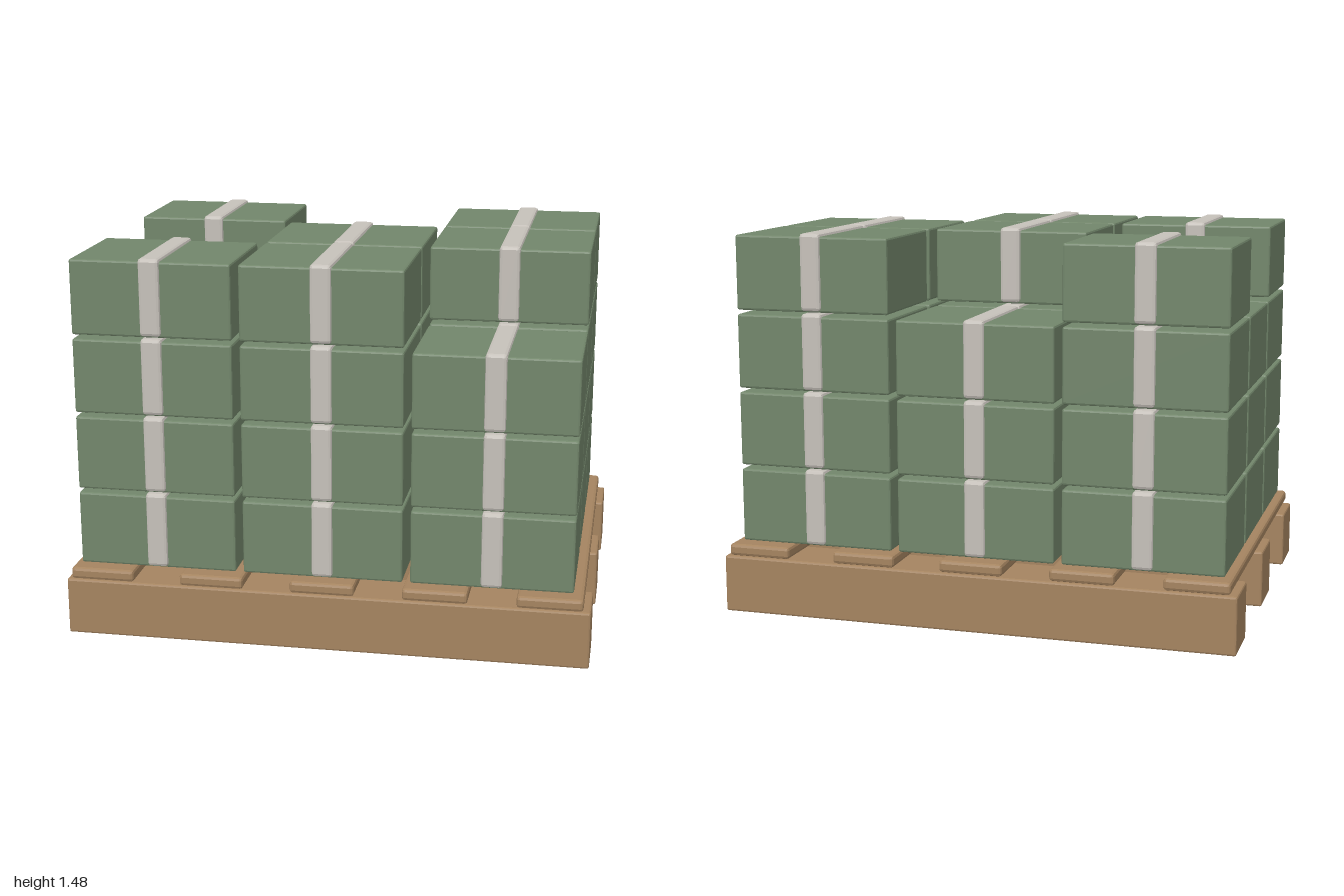
import * as THREE from 'three';
import { RoundedBoxGeometry } from 'three/addons/geometries/RoundedBoxGeometry.js';

const material = (color) => new THREE.MeshStandardMaterial({ color, flatShading: true });

// Box with a narrow chamfer along every edge
const chamferBox = (w, h, d, bevel) => new RoundedBoxGeometry(w, h, d, 1, bevel);

export function createModel() {
  const model = new THREE.Group();
  model.name = 'loadedPallet';

  const wood = material(0xa58460);
  const green = material(0x72866b);
  const webbing = material(0xc6c1ba);

  const add = (parent, name, geometry, mat, x, y, z) => {
    const mesh = new THREE.Mesh(geometry, mat);
    mesh.name = name;
    mesh.position.set(x, y, z);
    parent.add(mesh);
  };

  // Pallet: three bearers running along x, five deck boards running along z
  const pallet = new THREE.Group();
  pallet.name = 'pallet';
  model.add(pallet);
  const bearer = chamferBox(2, 0.222, 0.218, 0.008);
  for (const z of [-0.624, 0, 0.624]) add(pallet, 'bearer', bearer, wood, 0, 0.111, z);
  const board = chamferBox(0.245, 0.046, 1.49, 0.012);
  for (let i = -2; i <= 2; i++) add(pallet, 'deckBoard', board, wood, i * 0.426 - 0.002, 0.251, 0);

  // Crates: number of layers in each stack, rows from back to front
  const layers = [
    [4, 3, 4],
    [3, 4, 4],
    [4, 4, 3],
  ];
  const crateBody = chamferBox(0.608, 0.284, 0.446, 0.008);
  const strap = chamferBox(0.08, 0.29, 0.468, 0.012);
  layers.forEach((row, r) => row.forEach((count, c) => {
    for (let level = 0; level < count; level++) {
      const crate = new THREE.Group();
      crate.name = 'crate';
      crate.position.set((c - 1) * 0.637 - 0.007, 0.422 + level * 0.3, (r - 1) * 0.473);
      add(crate, 'crateBody', crateBody, green, 0, 0, 0);
      // Strap stands slightly proud of the crate's top, front and back
      add(crate, 'strap', strap, webbing, 0, 0.008, 0);
      model.add(crate);
    }
  }));

  return model;
}
